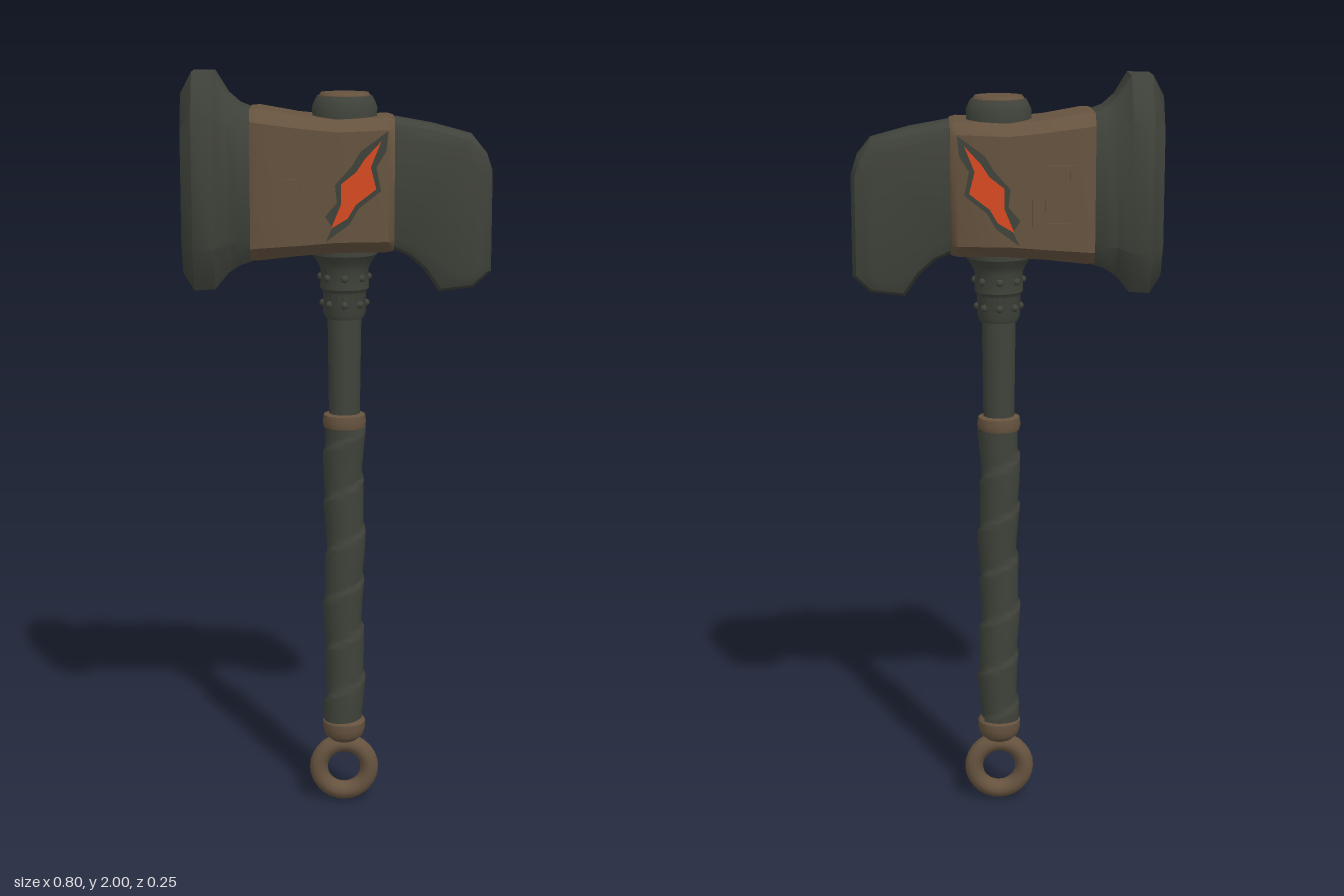
import * as THREE from 'three';
import { toCreasedNormals } from 'three/addons/utils/BufferGeometryUtils.js';

const mat = (name, color, side = THREE.FrontSide) =>
  Object.assign(new THREE.MeshStandardMaterial({ color, side }), { name });

// Loft of chamfered rectangles along x: [x, bottom, top, half depth, chamfer y, chamfer z]
function loft(sections) {
  const pos = [], idx = [], last = (sections.length - 1) * 8;
  for (const [x, b, t, h, cy, cz] of sections) {
    const ring = [[t, cz - h], [t, h - cz], [t - cy, h], [b + cy, h],
      [b, h - cz], [b, cz - h], [b + cy, -h], [t - cy, -h]];
    for (const [y, z] of ring) pos.push(x, y, z);
  }
  for (let i = 0; i < last; i += 8) {
    for (let k = 0; k < 8; k++) {
      const n = (k + 1) % 8;
      idx.push(i + k, i + n, i + 8 + n, i + k, i + 8 + n, i + 8 + k);
    }
  }
  for (let k = 1; k < 7; k++) idx.push(0, k + 1, k, last, last + k, last + k + 1);
  const g = new THREE.BufferGeometry();
  g.setAttribute('position', new THREE.Float32BufferAttribute(pos, 3));
  g.setIndex(idx);
  return toCreasedNormals(g, 0.65);
}

const shapeOf = pts => new THREE.Shape(pts.map(p => new THREE.Vector2(...p)));
const lathe = (pts, n = 20) =>
  toCreasedNormals(new THREE.LatheGeometry(pts.map(p => new THREE.Vector2(...p)), n), 0.6);

export function createModel() {
  const iron = mat('dark iron', 0x40433b);
  const bronze = mat('aged bronze', 0x66533f);
  const ember = mat('ember orange', 0xd84a22);
  const group = new THREE.Group();
  const add = (name, geo, material, x = 0, y = 0, z = 0) => {
    const m = new THREE.Mesh(geo, material);
    m.name = name;
    m.position.set(x, y, z);
    group.add(m);
    return m;
  };
  const cx = 0.02; // handle axis

  // Pommel ring and collars
  const ring = add('pommelRing', new THREE.TorusGeometry(0.07, 0.025, 12, 28), bronze, cx, 0.097, 0);
  ring.scale.z = 1.1;
  add('pommelCollar', lathe([[0, 0.18], [0.035, 0.18], [0.052, 0.195], [0.058, 0.215],
    [0.058, 0.235], [0.05, 0.245], [0, 0.245]]), bronze, cx);
  add('gripBand', lathe([[0.04, 1.062], [0.055, 1.066], [0.058, 1.08], [0.055, 1.1], [0.04, 1.104]]), bronze, cx);

  // Wrapped grip: a spiral ramp of overlapping leather turns
  const grip = new THREE.CylinderGeometry(1, 1, 0.84, 20, 84, true);
  const p = grip.attributes.position;
  for (let i = 0; i < p.count; i++) {
    const x = p.getX(i), y = p.getY(i), z = p.getZ(i);
    const turn = y / 0.14 + Math.atan2(z, x) / (2 * Math.PI) + 10;
    const r = 0.049 + 0.007 * (turn - Math.floor(turn));
    p.setXYZ(i, x * r + 0.003 * Math.sin(y * 17), y, z * r + 0.002 * Math.cos(y * 14));
  }
  add('wrappedGrip', toCreasedNormals(grip, 0.9), iron, cx, 0.65);

  // Shaft, flared socket and rivets
  add('shaft', new THREE.CylinderGeometry(0.045, 0.041, 0.32, 16), iron, cx, 1.24);
  add('socket', lathe([[0, 1.36], [0.05, 1.36], [0.056, 1.375], [0.057, 1.43], [0.064, 1.44],
    [0.063, 1.49], [0.072, 1.51], [0.086, 1.53], [0.086, 1.56], [0, 1.56]]), iron, cx);
  for (let k = 0; k < 8; k++) {
    const a = k * Math.PI / 4;
    for (const [y, r] of [[1.4, 0.056], [1.47, 0.062]]) {
      add('socketRivet', new THREE.SphereGeometry(0.01, 8, 6), iron,
        cx + r * Math.sin(a), y, r * Math.cos(a));
    }
  }

  // Flared striking face
  add('strikingFace', loft([
    [-0.4, 1.485, 1.945, 0.085, 0.085, 0.045],
    [-0.37, 1.44, 2, 0.118, 0.11, 0.062],
    [-0.315, 1.445, 2, 0.124, 0.11, 0.062],
    [-0.28, 1.487, 1.945, 0.104, 0.08, 0.05],
    [-0.25, 1.507, 1.918, 0.1, 0.06, 0.04],
    [-0.18, 1.53, 1.89, 0.097, 0.05, 0.035],
  ]), iron);

  // Bronze sleeve around the head
  add('headSleeve', loft([
    [-0.222, 1.525, 1.908, 0.112, 0.03, 0.025],
    [-0.2, 1.523, 1.91, 0.12, 0.035, 0.035],
    [-0.1, 1.535, 1.892, 0.12, 0.03, 0.03],
    [0, 1.543, 1.882, 0.12, 0.03, 0.03],
    [0.13, 1.545, 1.888, 0.12, 0.03, 0.03],
    [0.147, 1.549, 1.884, 0.108, 0.03, 0.025],
  ]), bronze);

  // Hooked back of the head
  const hook = shapeOf([[0.08, 1.885], [0.15, 1.883], [0.25, 1.865], [0.35, 1.838], [0.385, 1.795],
    [0.4, 1.75], [0.4, 1.49], [0.355, 1.448], [0.265, 1.437], [0.225, 1.495],
    [0.185, 1.53], [0.14, 1.55], [0.08, 1.55]]);
  const hookGeo = new THREE.ExtrudeGeometry(hook, { depth: 0.1, bevelThickness: 0.035,
    bevelSize: 0.035, bevelOffset: -0.035, bevelSegments: 2 });
  add('hookedBack', toCreasedNormals(hookGeo, 0.7), iron, 0, 0, -0.05);

  // Top cap: iron rim with a bronze plug
  add('capRim', lathe([[0, 1.87], [0.084, 1.87], [0.085, 1.91], [0.078, 1.927],
    [0.072, 1.937], [0.066, 1.937], [0.066, 1.92]], 18), iron, cx);
  add('capPlug', lathe([[0.067, 1.9], [0.067, 1.939], [0.062, 1.946], [0, 1.946]], 18), bronze, cx);

  // Side details, the same on front and back
  const crack = shapeOf([[0.13, 1.856], [0.125, 1.805], [0.1, 1.765], [0.112, 1.705], [0.055, 1.66],
    [0.032, 1.62], [-0.028, 1.576], [-0.012, 1.612], [-0.03, 1.64], [0, 1.675], [-0.005, 1.72],
    [0.038, 1.768], [0.06, 1.805]]);
  const glow = shapeOf([[0.112, 1.83], [0.086, 1.765], [0.1, 1.71], [0.048, 1.67], [0.027, 1.635],
    [-0.015, 1.61], [0.01, 1.67], [0.01, 1.722], [0.048, 1.752], [0.07, 1.785]]);
  const box = (w, h) => [[-w, -h], [w, -h], [w, h], [-w, h]];
  const frame = shapeOf(box(0.055, 0.08));
  frame.holes.push(shapeOf(box(0.042, 0.067)));
  const plate = (shape, d) => new THREE.ExtrudeGeometry(shape, { depth: d, bevelEnabled: false });
  for (const s of [1, -1]) {
    add('crackEdge', plate(crack, 0.004), iron, 0, 0, s * 0.12 - 0.002);
    add('crackGlow', plate(glow, 0.008), ember, 0, 0, s * 0.12 - 0.004);
    add('panelFrame', plate(frame, 0.008), bronze, -0.115, 1.7, s * 0.12 - 0.004);
    add('panelBoss', plate(shapeOf(box(0.022, 0.035)), 0.006), bronze, -0.115, 1.7, s * 0.12 - 0.003);
  }
  return group;
}
